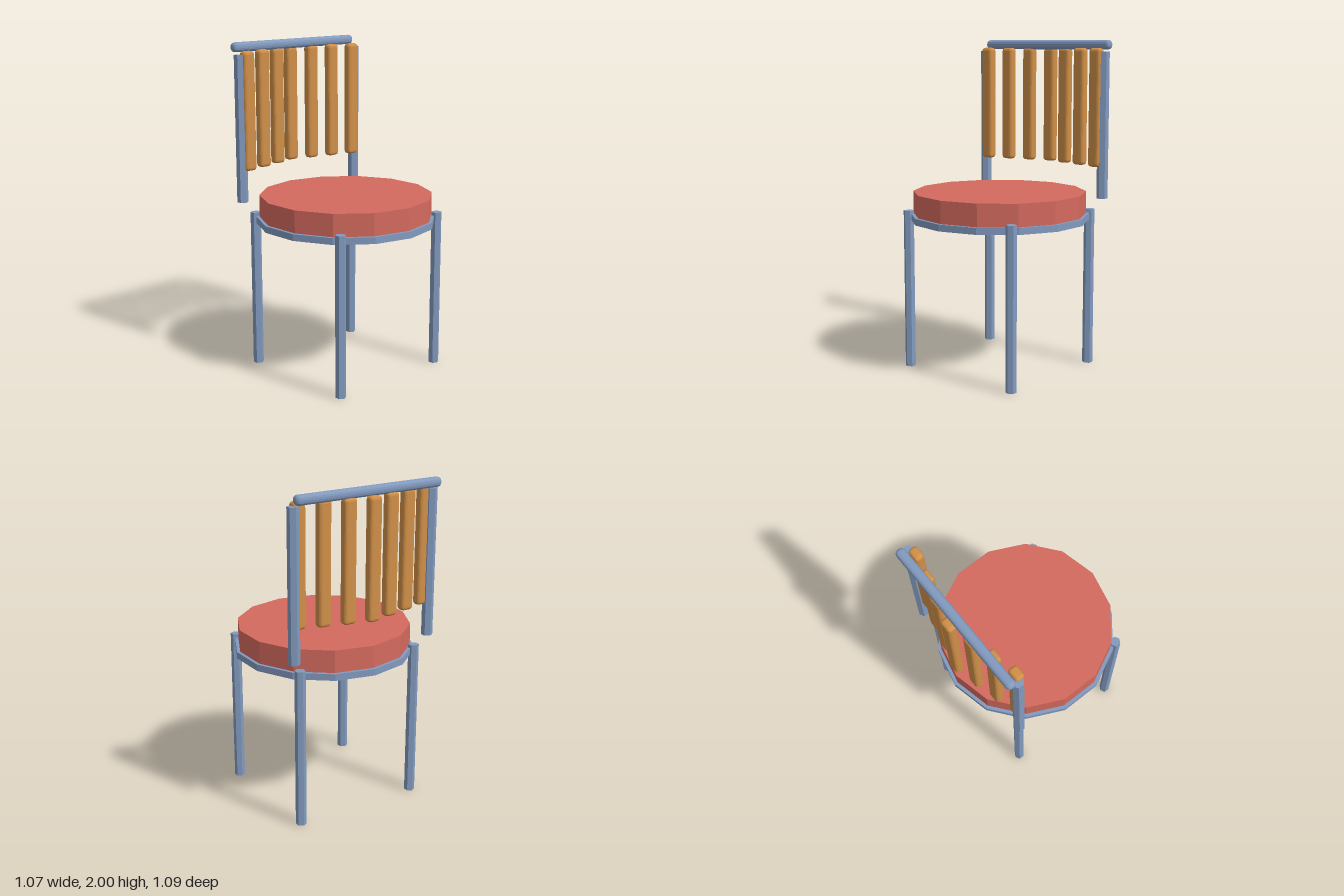
import * as THREE from 'three';
import { RoundedBoxGeometry } from 'three/addons/geometries/RoundedBoxGeometry.js';

const material = (name, color, flatShading) => {
  const m = new THREE.MeshStandardMaterial({ color, flatShading });
  m.name = name;
  return m;
};

export function createModel() {
  const group = new THREE.Group();
  const metal = material('blue metal', 0x829abf, true);
  const cushion = material('red cushion', 0xd46a5e, true);
  const wood = material('warm wood', 0xd08f48, true);

  const add = (name, geometry, mat, x, y, z) => {
    const mesh = new THREE.Mesh(geometry, mat);
    mesh.name = name;
    mesh.position.set(x, y, z);
    group.add(mesh);
    return mesh;
  };
  // Upright prism between two heights
  const column = (name, mat, r, sides, y0, y1, x, z) =>
    add(name, new THREE.CylinderGeometry(r, r, y1 - y0, sides), mat, x, (y0 + y1) / 2, z);

  // Fourteen-sided seat on a slightly wider frame
  column('seatFrame', metal, 0.547, 14, 0.915, 0.955, 0, 0);
  column('seatCushion', cushion, 0.527, 14, 0.953, 1.09, 0, 0);

  // Hexagonal legs and back posts
  for (const side of [-1, 1]) {
    const label = side > 0 ? 'Left' : 'Right';
    column('front' + label + 'Leg', metal, 0.032, 6, 0, 0.975, side * 0.402, 0.38);
    column('back' + label + 'Leg', metal, 0.032, 6, 0, 0.975, side * 0.402, -0.38);
    column('back' + label + 'Post', metal, 0.034, 6, 1.04, 1.93, side * 0.465, -0.423);
  }

  // Top rail
  add('topRail', new RoundedBoxGeometry(0.968, 0.058, 0.058, 2, 0.024), metal, 0, 1.971, -0.469);

  // Back slats, stepping rearward toward the middle
  const slat = new RoundedBoxGeometry(0.082, 0.718, 0.058, 2, 0.02);
  for (let i = -3; i <= 3; i++) {
    add('backSlat', slat, wood, i * 0.1415, 1.592, -0.51 + Math.abs(i) * 0.036);
  }
  return group;
}
